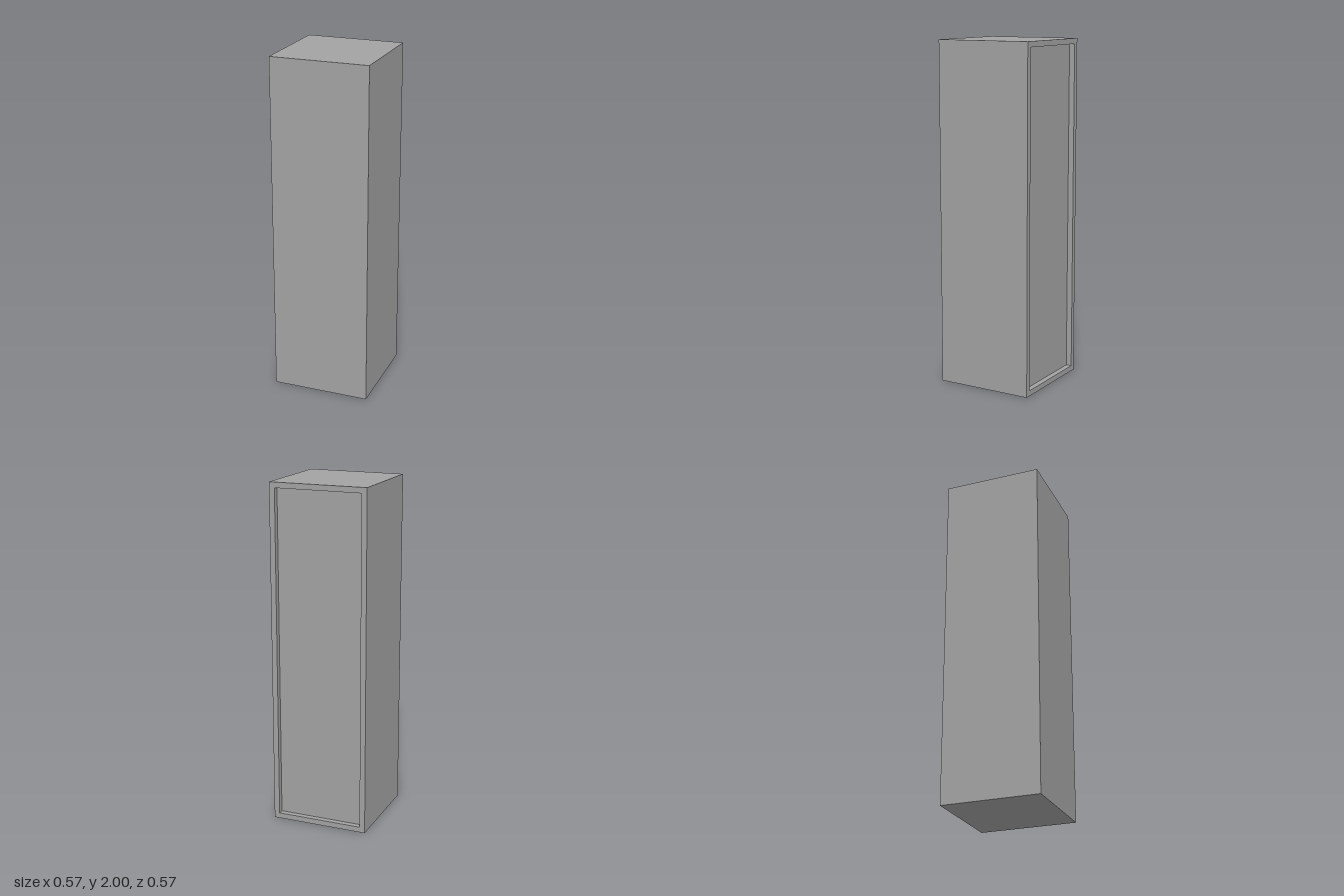
import * as THREE from 'three';

const WIDTH = 0.574, HEIGHT = 2, RIM = 0.032, RECESS = 0.033;

// Adds a rectangle outline to a shape or path
function rectangle(path, w, h) {
  path.moveTo(-w / 2, -h / 2);
  path.lineTo(w / 2, -h / 2);
  path.lineTo(w / 2, h / 2);
  path.lineTo(-w / 2, h / 2);
  path.closePath();
  return path;
}

export function createModel() {
  const group = new THREE.Group();
  group.name = 'cabinet';

  const grey = new THREE.MeshStandardMaterial({ color: 0xa2a2a2 });
  grey.name = 'grey';

  // Main body; its back face is the recessed panel
  const body = new THREE.Mesh(new THREE.BoxGeometry(WIDTH, HEIGHT, WIDTH - RECESS), grey);
  body.name = 'body';
  body.position.set(0, HEIGHT / 2, RECESS / 2);
  group.add(body);

  // Raised rim around the back panel
  const outline = rectangle(new THREE.Shape(), WIDTH, HEIGHT);
  outline.holes.push(rectangle(new THREE.Path(), WIDTH - 2 * RIM, HEIGHT - 2 * RIM));
  const rim = new THREE.Mesh(
    new THREE.ExtrudeGeometry(outline, { depth: RECESS, bevelEnabled: false }), grey);
  rim.name = 'backRim';
  rim.position.set(0, HEIGHT / 2, -WIDTH / 2);
  group.add(rim);

  return group;
}
